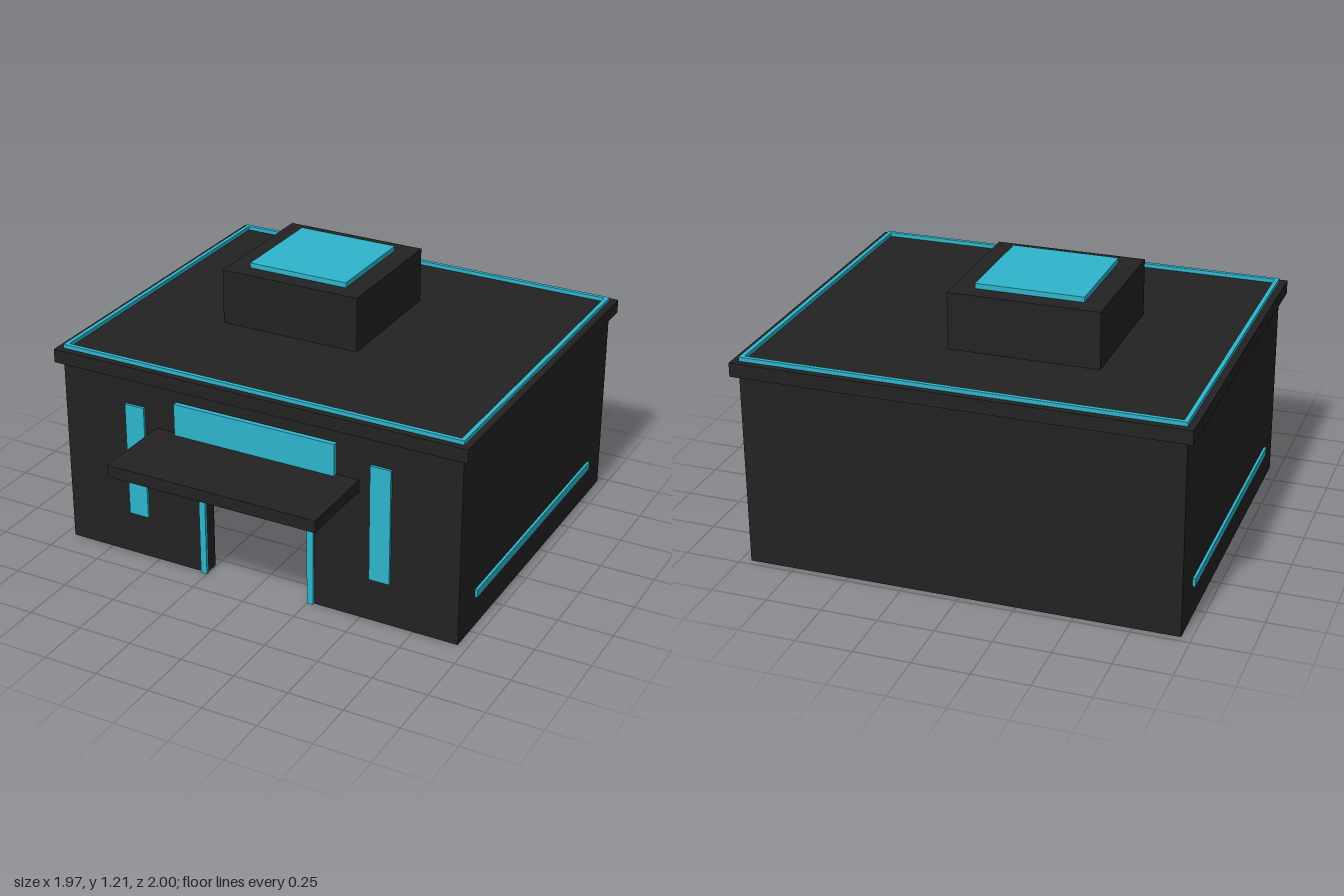
import * as THREE from 'three';

const charcoal = new THREE.MeshStandardMaterial({ color: 0x222222 });
charcoal.name = 'charcoal';
const cyan = new THREE.MeshStandardMaterial({ color: 0x2eb4cc });
cyan.name = 'cyan';

export function createModel() {
  const model = new THREE.Group();
  model.name = 'building';

  // Box given by its limits on each axis
  function box(name, material, [x0, x1], [y0, y1], [z0, z1]) {
    const mesh = new THREE.Mesh(new THREE.BoxGeometry(x1 - x0, y1 - y0, z1 - z0), material);
    mesh.position.set((x0 + x1) / 2, (y0 + y1) / 2, (z0 + z1) / 2);
    mesh.name = name;
    model.add(mesh);
    return mesh;
  }

  const W = 0.955, BACK = -0.97, FRONT = 0.62, T = 0.07, H = 0.875;
  const DOOR = 0.255, DOOR_TOP = 0.535;

  // Hollow walls, open at the bottom
  box('backWall', charcoal, [-W, W], [0, H], [BACK, BACK + T]);
  const front = new THREE.Shape();
  [[-W, 0], [-DOOR, 0], [-DOOR, DOOR_TOP], [DOOR, DOOR_TOP], [DOOR, 0], [W, 0], [W, H], [-W, H]]
    .forEach(([x, y], i) => (i ? front.lineTo(x, y) : front.moveTo(x, y)));
  const frontWall = new THREE.Mesh(
    new THREE.ExtrudeGeometry(front, { depth: T, bevelEnabled: false }), charcoal);
  frontWall.position.z = FRONT - T;
  frontWall.name = 'frontWall';
  model.add(frontWall);

  // Side walls, glowing side strips, narrow windows and door posts
  for (const [side, s] of [['left', 1], ['right', -1]]) {
    const span = (a, b) => (s > 0 ? [a, b] : [-b, -a]);
    box(side + 'Wall', charcoal, span(W - T, W), [0, H], [BACK + T, FRONT - T]);
    box(side + 'Strip', cyan, span(W, 0.967), [0.145, 0.183], [-0.81, 0.46]);
    box(side + 'Window', cyan, span(0.545, 0.64), [0.205, 0.745], [FRONT, 0.632]);
    box(side + 'DoorPost', cyan, span(0.25, 0.28), [0, 0.557], [FRONT - 0.005, 0.632]);
  }
  box('doorLintel', cyan, [-0.25, 0.25], [0.53, 0.557], [FRONT - 0.005, 0.632]);

  // Front panel and entrance canopy
  box('frontPanel', cyan, [-0.385, 0.385], [0.59, 0.808], [FRONT, 0.642]);
  box('canopy', charcoal, [-0.49, 0.49], [0.605, 0.66], [FRONT, 1]);

  // Roof slab with a raised light border
  box('roof', charcoal, [-0.984, 0.984], [H, 0.937], [-1, 0.65]);
  const roofTop = 0.937, trimTop = 0.955, trim = 0.019;
  for (const [side, s] of [['left', 1], ['right', -1]]) {
    const xs = s > 0 ? [0.953 - trim, 0.953] : [-0.953, -0.953 + trim];
    box(side + 'RoofTrim', cyan, xs, [roofTop, trimTop], [BACK, FRONT]);
  }
  const inner = [-0.953 + trim, 0.953 - trim];
  box('backRoofTrim', cyan, inner, [roofTop, trimTop], [BACK, BACK + trim]);
  box('frontRoofTrim', cyan, inner, [roofTop, trimTop], [FRONT - trim, FRONT]);

  // Rooftop unit
  box('rooftopUnit', charcoal, [-0.478, 0.187], [roofTop, 1.19], [-0.572, 0.06]);
  box('skylight', cyan, [-0.383, 0.092], [1.19, 1.213], [-0.493, -0.018]);

  return model;
}
